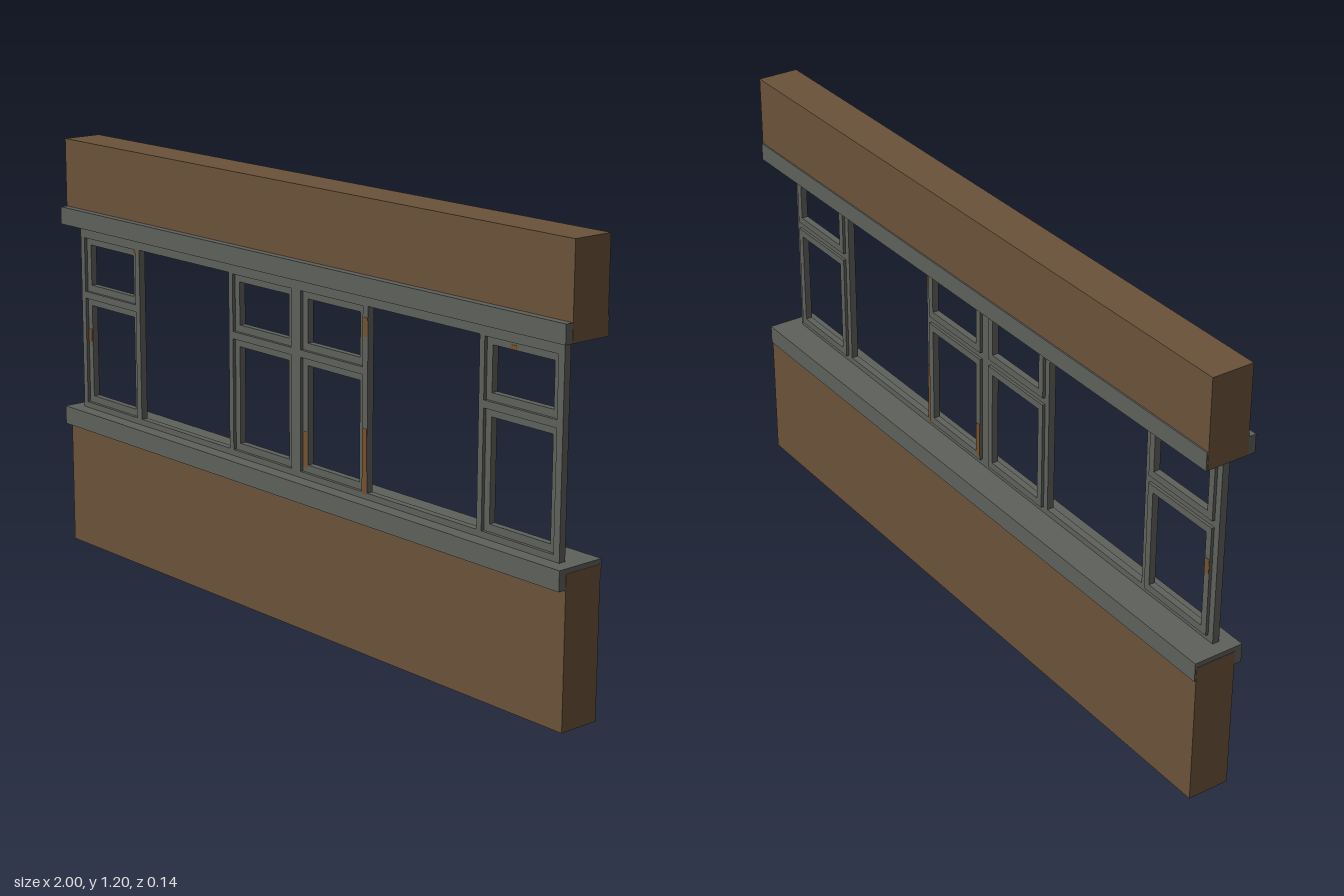
import * as THREE from 'three';

export function createModel() {
  const material = (name, color) => {
    const m = new THREE.MeshStandardMaterial({ color });
    m.name = name;
    return m;
  };
  const brown = material('brownWall', 0x6b523a);
  const grey = material('greyMetal', 0x5e605b);
  const rust = material('rust', 0x74502e);

  const model = new THREE.Group();
  model.name = 'windowWall';

  // Box given by its limits on each axis
  const block = (parent, name, mat, [x0, x1], [y0, y1], [z0, z1]) => {
    const mesh = new THREE.Mesh(new THREE.BoxGeometry(x1 - x0, y1 - y0, z1 - z0), mat);
    mesh.position.set((x0 + x1) / 2, (y0 + y1) / 2, (z0 + z1) / 2);
    mesh.name = name;
    parent.add(mesh);
    return mesh;
  };

  // Rectangular ring extruded along z
  const ring = (parent, name, [x0, x1], [y0, y1], [z0, z1], holes) => {
    const rect = (p, a, b, c, d) => p.moveTo(a, c).lineTo(b, c).lineTo(b, d).lineTo(a, d).closePath();
    const shape = rect(new THREE.Shape(), x0, x1, y0, y1);
    for (const [hx, hy] of holes) shape.holes.push(rect(new THREE.Path(), ...hx, ...hy));
    const mesh = new THREE.Mesh(
      new THREE.ExtrudeGeometry(shape, { depth: z1 - z0, bevelEnabled: false }), grey);
    mesh.position.z = z0;
    mesh.name = name;
    parent.add(mesh);
  };

  // Walls and the ledges that wrap them
  const wallZ = [-0.067, 0.051], ledgeZ = [-0.071, 0.073];
  block(model, 'lowerWall', brown, [-1, 1], [0, 0.4], wallZ);
  block(model, 'upperWall', brown, [-1, 1], [0.957, 1.2], wallZ);
  block(model, 'sill', grey, [-0.999, 0.999], [0.36, 0.413], ledgeZ);
  block(model, 'lintel', grey, [-0.999, 0.999], [0.955, 1.005], ledgeZ);

  // Two window units, each with a fixed light between two pairs of sashes
  const frameZ = [0.013, 0.033], sashZ = [0.005, 0.024];
  const rows = [[0.43, 0.74], [0.76, 0.918]];
  const columns = [[0.018, 0.26], [0.697, 0.94]];
  for (const x of [-0.96, 0]) {
    const unit = new THREE.Group();
    unit.name = 'windowUnit';
    unit.position.x = x;
    model.add(unit);
    const holes = [[[0.28, 0.68], [0.43, 0.92]]];
    for (const c of columns) for (const r of rows) {
      holes.push([c, r]);
      const inner = [[c[0] + 0.019, c[1] - 0.019], [r[0] + 0.02, r[1] - 0.02]];
      ring(unit, 'sash', c, r, sashZ, [inner]);
    }
    ring(unit, 'frame', [0, 0.96], [0.41, 0.957], frameZ, holes);
  }

  // Thin rust patches on the front and back of the bars
  const patches = [
    [[0.262, 0.279], [0.425, 0.6], frameZ], [[0.262, 0.279], [0.84, 0.89], frameZ],
    [[0.019, 0.036], [0.44, 0.54], sashZ], [[-0.941, -0.926], [0.61, 0.65], sashZ],
    [[-0.72, -0.702], [0.895, 0.917], sashZ], [[0.775, 0.8], [0.899, 0.91], sashZ],
  ];
  for (const [x, y, z] of patches) {
    block(model, 'rustFront', rust, x, y, [z[1], z[1] + 0.001]);
    block(model, 'rustBack', rust, x, y, [z[0] - 0.001, z[0]]);
  }
  return model;
}
